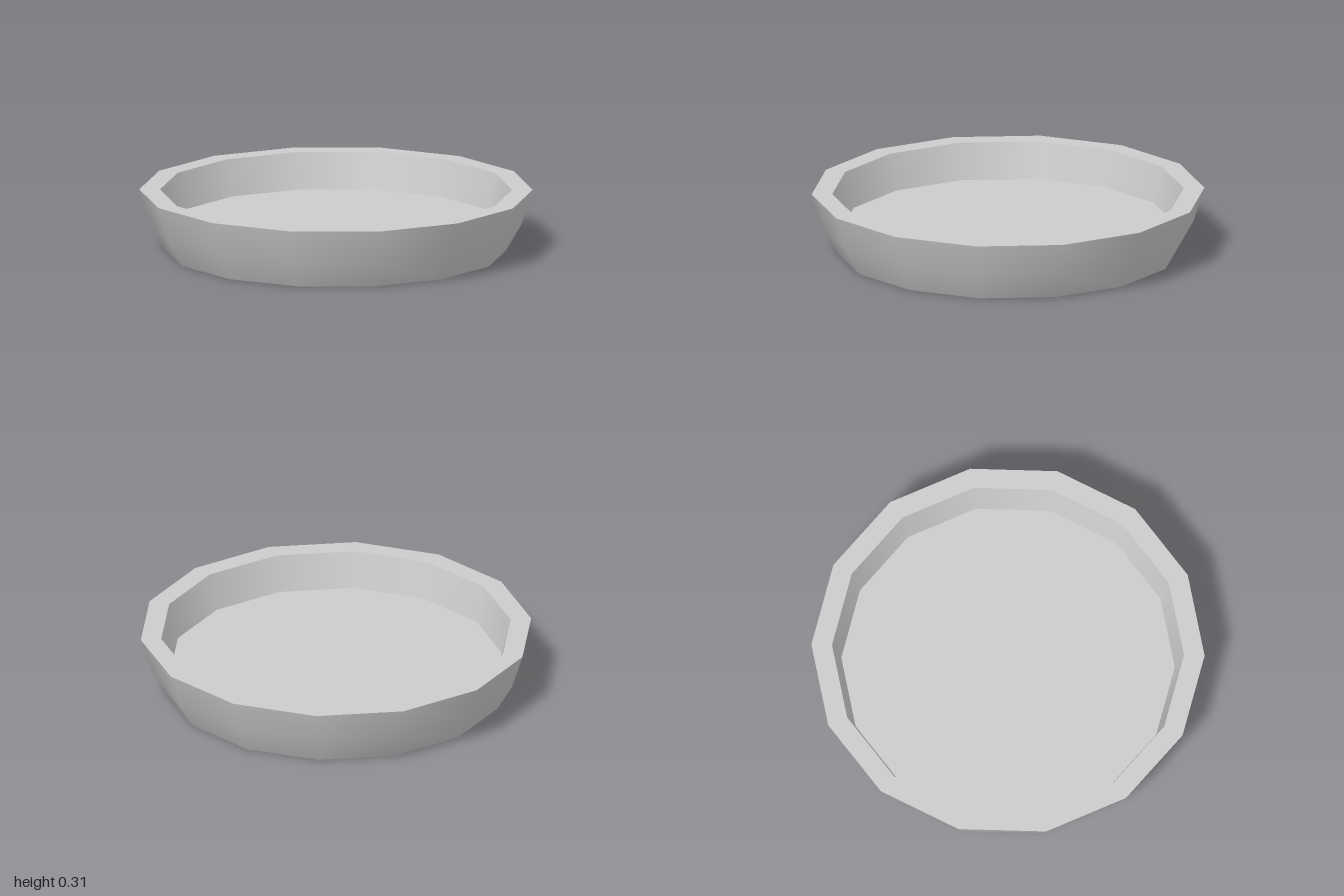
import * as THREE from 'three';

const SIDES = 14;
const material = new THREE.MeshStandardMaterial({ color: 0xcccccc });

export function createModel() {
  const group = new THREE.Group();
  group.name = 'shallowDish';

  const add = (name, geometry) => {
    const mesh = new THREE.Mesh(geometry, material);
    mesh.name = name;
    group.add(mesh);
    return mesh;
  };

  // Smooth band turned from [radius, height] points, with a corner on the x axis
  const band = (name, points) => add(name, new THREE.LatheGeometry(
    points.map(([r, y]) => new THREE.Vector2(r, y)), SIDES, Math.PI / 2));

  // Flat disc facing up (1) or down (-1)
  const disc = (name, radius, y, facing) => {
    const mesh = add(name, new THREE.CircleGeometry(radius, SIDES));
    mesh.rotation.x = -facing * Math.PI / 2;
    mesh.position.y = y;
  };

  // Separate bands keep the rim and floor edges sharp
  band('outerWall', [[0.865, 0], [0.945, 0.14], [1, 0.315]]);
  band('rim', [[1, 0.315], [0.895, 0.315]]);
  band('innerWall', [[0.895, 0.315], [0.848, 0.13]]);
  disc('innerFloor', 0.848, 0.13, 1);
  disc('base', 0.865, 0, -1);

  return group;
}
